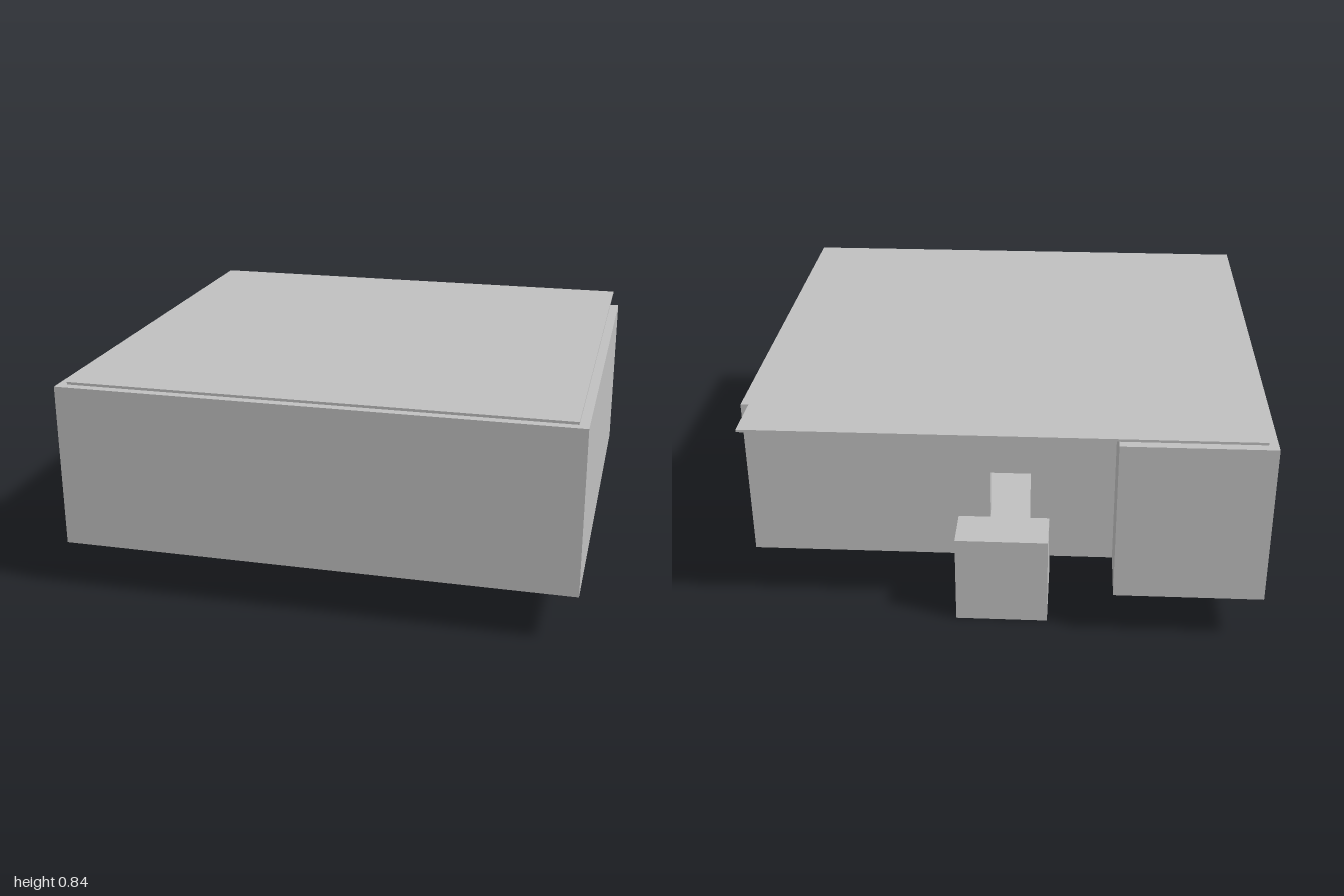
import * as THREE from 'three';

const grey = new THREE.MeshStandardMaterial({ color: 0xbfbfbf });
grey.name = 'plain grey';

// Plan and height limits
const T = 0.07, INSET = 0.036;
const X = 1, FRONT = 0.993, BACK = -0.993, RECESS = -0.737, STEP = -0.43;
const BASE = 0.185, TOP = 0.83;

function block(name, x0, x1, y0, y1, z0, z1) {
  const mesh = new THREE.Mesh(new THREE.BoxGeometry(x1 - x0, y1 - y0, z1 - z0), grey);
  mesh.position.set((x0 + x1) / 2, (y0 + y1) / 2, (z0 + z1) / 2);
  mesh.name = name;
  return mesh;
}

function polygon(points) {
  return new THREE.Shape(points.map(([x, y]) => new THREE.Vector2(x, y)));
}

export function createModel() {
  const model = new THREE.Group();
  model.name = 'building';

  // Outer walls around an L-shaped plan
  const walls = new THREE.Group();
  walls.name = 'walls';
  walls.add(
    block('frontWall', -X, X, BASE, TOP, FRONT - T, FRONT),
    block('leftWall', X - T, X, BASE, TOP, RECESS, FRONT - T),
    block('rightWall', -X, -X + T, BASE, TOP, BACK, FRONT - T),
    block('wingBackWall', -X + T, STEP, BASE, TOP, BACK, BACK + T),
    block('wingSideWall', STEP - T, STEP, BASE, TOP, BACK + T, RECESS + T),
  );

  // Recessed back wall with a doorway
  const doorWall = polygon([
    [STEP, BASE], [-0.105, BASE], [-0.105, 0.56], [0.053, 0.56], [0.053, BASE],
    [X - T, BASE], [X - T, TOP], [STEP, TOP],
  ]);
  const backWall = new THREE.Mesh(
    new THREE.ExtrudeGeometry(doorWall, { depth: T, bevelEnabled: false }), grey);
  backWall.position.z = RECESS;
  backWall.name = 'doorwayWall';
  walls.add(backWall);
  model.add(walls);

  // Floor slab follows the plan, set in from the walls (shape y becomes -z)
  const f = FRONT - INSET, b = BACK + INSET, r = RECESS + INSET + 0.01, x = X - INSET;
  const floorShape = polygon([
    [-x, -f], [x, -f], [x, -r], [STEP - INSET, -r], [STEP - INSET, -b], [-x, -b],
  ]);
  const floor = new THREE.Mesh(
    new THREE.ExtrudeGeometry(floorShape, { depth: BASE - 0.167, bevelEnabled: false }), grey);
  floor.rotation.x = -Math.PI / 2;
  floor.position.y = 0.167;
  floor.name = 'floor';
  model.add(floor);

  // Roof slab covers the whole rectangle, over the recess too
  model.add(block('roof', -x, x, TOP, 0.84, b, f));

  // Cube standing in the doorway
  model.add(block('doorBlock', -0.179, 0.179, 0, 0.36, -0.917, -0.559));

  return model;
}
